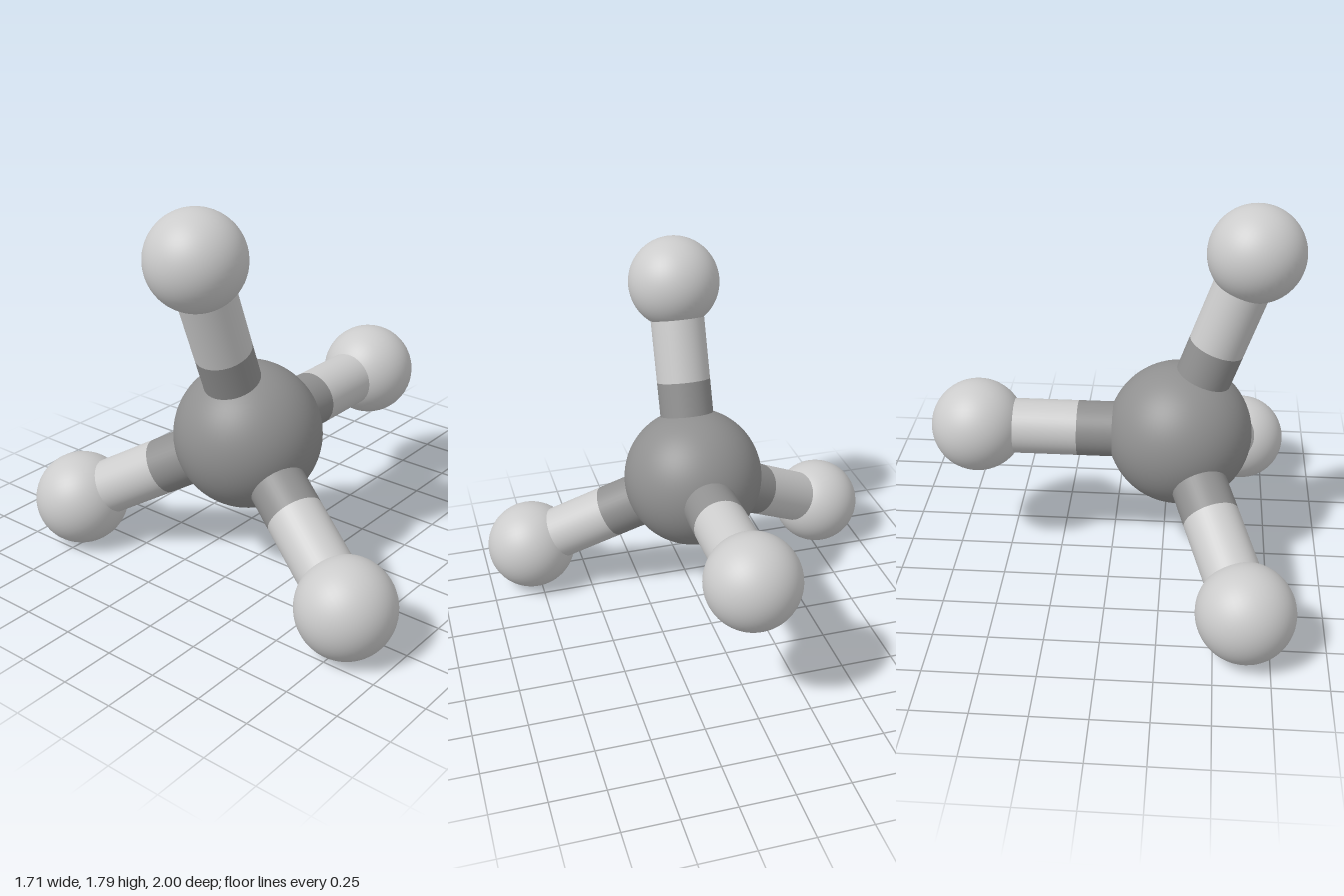
import * as THREE from 'three';

export function createModel() {
  const model = new THREE.Group();
  const light = new THREE.MeshStandardMaterial({ color: 0xcccccc });
  const dark = new THREE.MeshStandardMaterial({ color: 0x909090 });

  const length = 0.955; // centre-to-centre distance
  const outerRadius = 0.22, coreRadius = 0.338, rodRadius = 0.13;
  const centre = new THREE.Vector3(-length / 3, outerRadius + length * Math.SQRT2 / 3, 0);
  const up = new THREE.Vector3(0, 1, 0);

  function add(parent, name, geometry, material, y = 0) {
    const mesh = new THREE.Mesh(geometry, material);
    mesh.name = name;
    mesh.position.y = y;
    parent.add(mesh);
    return mesh;
  }

  // Large central ball
  add(model, 'centralBall', new THREE.SphereGeometry(coreRadius, 64, 40), dark).position.copy(centre);

  // Four arms pointing to the corners of a tetrahedron
  const ring = Math.sqrt(8) / 3;
  const directions = [new THREE.Vector3(1, 0, 0)];
  for (let i = 0; i < 3; i++) {
    const a = i * Math.PI * 2 / 3;
    directions.push(new THREE.Vector3(-1 / 3, ring * Math.cos(a), ring * Math.sin(a)));
  }
  const armNames = ['leftArm', 'topArm', 'frontArm', 'backArm'];
  const half = new THREE.CylinderGeometry(rodRadius, rodRadius, length / 2, 40);
  const ball = new THREE.SphereGeometry(outerRadius, 48, 32);

  directions.forEach((direction, i) => {
    const arm = new THREE.Group();
    arm.name = armNames[i];
    // Each rod is dark on its inner half and light on its outer half
    add(arm, 'innerRod', half, dark, length * 0.25);
    add(arm, 'outerRod', half, light, length * 0.75);
    add(arm, 'outerBall', ball, light, length);
    arm.position.copy(centre);
    arm.quaternion.setFromUnitVectors(up, direction);
    model.add(arm);
  });

  return model;
}
